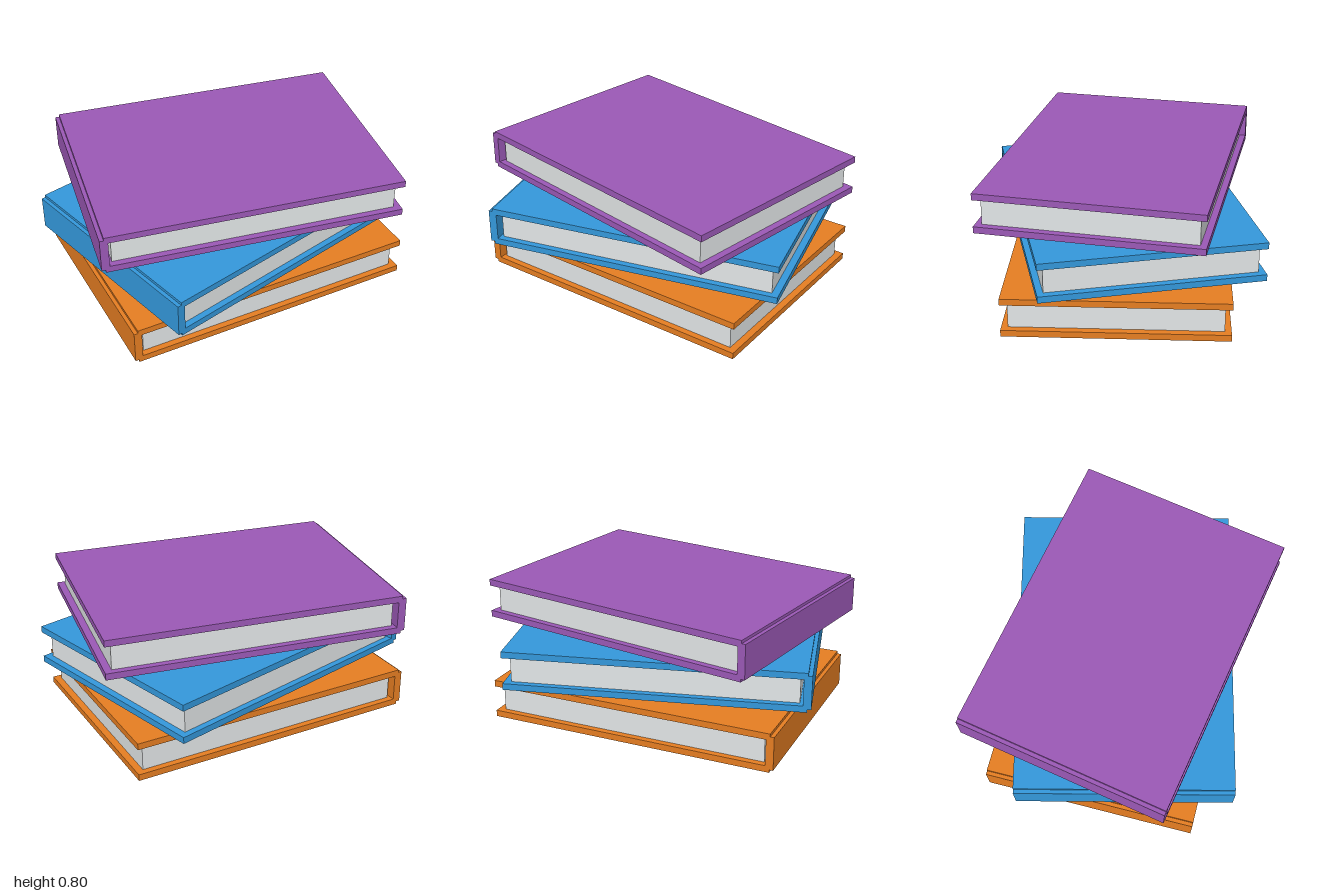
import * as THREE from 'three';

const material = (name, color) => {
  const m = new THREE.MeshStandardMaterial({ color });
  m.name = name;
  return m;
};

// Shared book dimensions
const LENGTH = 1.716, DEPTH = 1.264, HEIGHT = 0.232, COVER = 0.038, STEP = 0.283;

function addBox(parent, name, mat, size, position) {
  const mesh = new THREE.Mesh(new THREE.BoxGeometry(...size), mat);
  mesh.name = name;
  mesh.position.set(...position);
  parent.add(mesh);
}

// One hardcover book, standing on its own y = 0, with the spine at -x
function createBook(name, coverMat, pageMat) {
  const book = new THREE.Group();
  book.name = name;
  const mid = HEIGHT / 2;
  addBox(book, 'bottomCover', coverMat, [LENGTH, COVER, DEPTH], [0, COVER / 2, 0]);
  addBox(book, 'topCover', coverMat, [LENGTH, COVER, DEPTH], [0, HEIGHT - COVER / 2, 0]);
  addBox(book, 'spine', coverMat, [0.046, 0.198, DEPTH], [-LENGTH / 2, mid, 0]);
  addBox(book, 'pages', pageMat, [1.634, HEIGHT - 2 * COVER, 1.19], [0, mid, 0]);
  return book;
}

export function createModel() {
  const group = new THREE.Group();
  group.name = 'bookStack';
  const pages = material('paper', 0xecf0f1);

  // Name, cover colour and turn in degrees, from the bottom up
  const books = [
    ['orangeBook', material('orange', 0xe67e22), 0],
    ['blueBook', material('blue', 0x3498db), 14],
    ['purpleBook', material('purple', 0x9b59b6), -10],
  ];
  books.forEach(([name, cover, turn], i) => {
    const book = createBook(name, cover, pages);
    book.position.set(0.009, i * STEP, -0.002);
    book.rotation.y = THREE.MathUtils.degToRad(turn);
    group.add(book);
  });
  return group;
}
